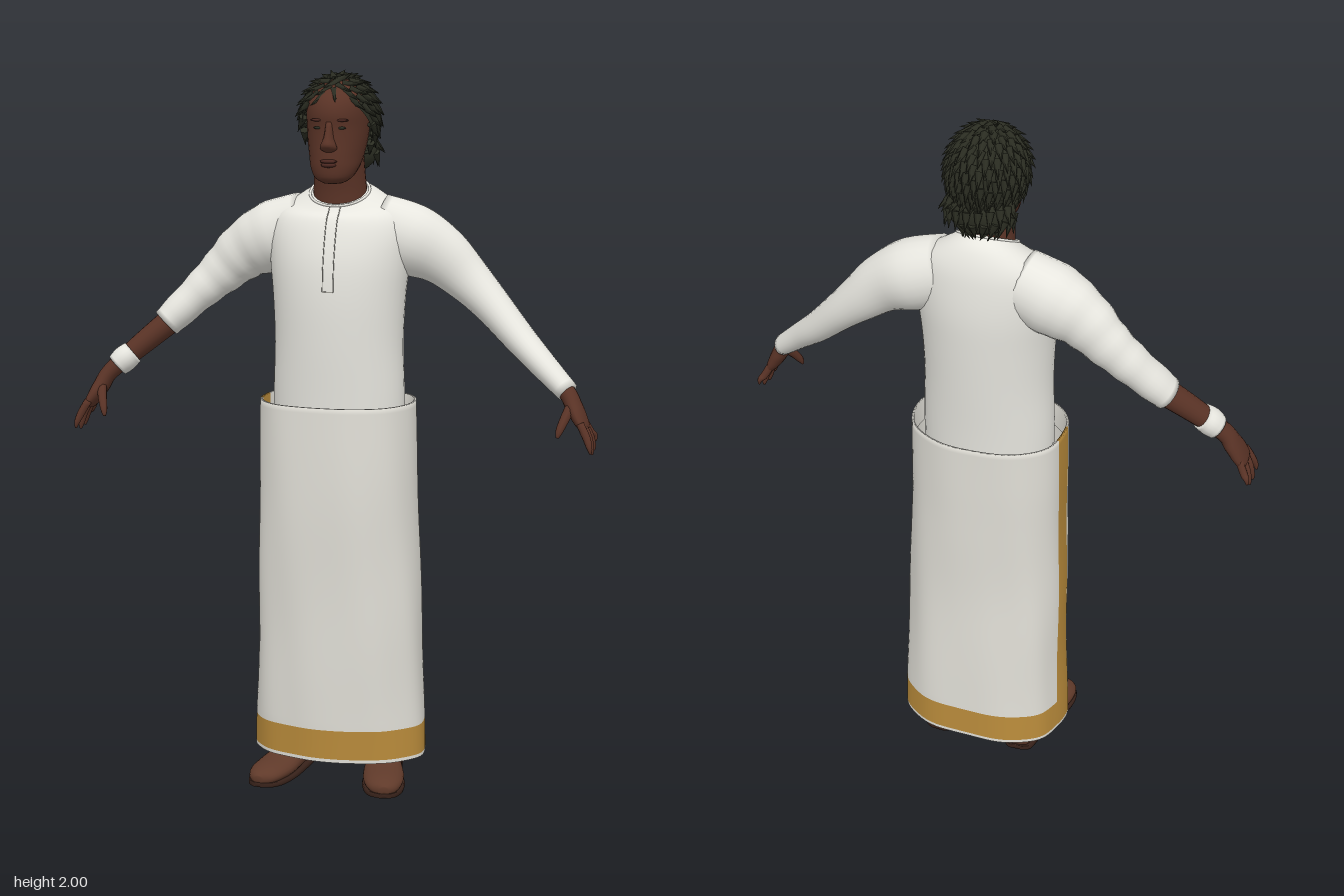
import * as THREE from 'three';
import { mergeGeometries } from 'three/addons/utils/BufferGeometryUtils.js';

const V = (x, y, z) => new THREE.Vector3(x, y, z);
const mat = (name, color, side = THREE.FrontSide) =>
  Object.assign(new THREE.MeshStandardMaterial({ color, side }), { name });

// Smoothly resample rows of numbers into n rows
function resample(rows, n) {
  const at = i => rows[Math.max(0, Math.min(rows.length - 1, i))];
  return Array.from({ length: n }, (_, k) => {
    const s = (k / (n - 1)) * (rows.length - 1);
    const i = Math.min(Math.floor(s), rows.length - 2), t = s - i;
    return rows[i].map((_, c) => {
      const [a, b, d, e] = [at(i - 1)[c], at(i)[c], at(i + 1)[c], at(i + 2)[c]];
      return b + 0.5 * t * (d - a + t * (2 * a - 5 * b + 4 * d - e + t * (3 * (b - d) + e - a)));
    });
  });
}

// Skin closed rings; pick(i, j) chooses the material group of each cell
function loft(rings, capped = true, pick = null) {
  const n = rings[0].length, pos = [], groups = [[], []];
  rings.forEach(r => r.forEach(p => pos.push(p.x, p.y, p.z)));
  for (let i = 0; i < rings.length - 1; i++)
    for (let j = 0; j < n; j++) {
      const a = i * n + j, b = i * n + (j + 1) % n;
      groups[pick ? pick(i, j) : 0].push(a, a + n, b, b, a + n, b + n);
    }
  if (capped)
    [0, rings.length - 1].forEach((i, end) => {
      const c = rings[i].reduce((s, p) => s.add(p), V(0, 0, 0)).divideScalar(n);
      const k = pos.length / 3;
      pos.push(c.x, c.y, c.z);
      for (let j = 0; j < n; j++) {
        const a = i * n + j, b = i * n + (j + 1) % n;
        groups[0].push(...(end ? [k, b, a] : [k, a, b]));
      }
    });
  const g = new THREE.BufferGeometry();
  g.setAttribute('position', new THREE.Float32BufferAttribute(pos, 3));
  g.setIndex(groups.flat());
  if (pick) {
    g.addGroup(0, groups[0].length, 0);
    g.addGroup(groups[0].length, groups[1].length, 1);
  }
  g.computeVertexNormals();
  return g;
}

// Limb along rows of [x, y, z, radius across, radius along ref]
function limbRings(rows, n = 20, seg = 16, ref = V(0, 0, 1)) {
  const r = resample(rows, n), c = r.map(q => V(q[0], q[1], q[2]));
  return r.map((q, i) => {
    const t = c[Math.min(i + 1, n - 1)].clone().sub(c[Math.max(i - 1, 0)]).normalize();
    const u = ref.clone().addScaledVector(t, -ref.dot(t)).normalize();
    const v = t.clone().cross(u);
    return Array.from({ length: seg }, (_, j) => {
      const a = (j / seg) * Math.PI * 2;
      return c[i].clone().addScaledVector(v, q[3] * Math.cos(a)).addScaledVector(u, q[4] * Math.sin(a));
    });
  });
}
const limb = (...args) => loft(limbRings(...args));

// Level ring from [y, half width, front z, back z, centre x, tilt]
function levelRing([y, rx, zf, zb, cx = 0, tilt = 0], seg, power = 1, wave = () => 0) {
  const cz = (zf + zb) / 2, rz = (zf - zb) / 2;
  const sp = v => Math.sign(v) * Math.abs(v) ** power;
  return Array.from({ length: seg }, (_, j) => {
    const a = (j / seg) * Math.PI * 2, w = 1 + wave(a, y);
    const z = cz + rz * w * sp(Math.sin(a));
    return V(cx + rx * w * sp(Math.cos(a)), y + tilt * (z - cz), z);
  });
}

export function createModel() {
  const model = new THREE.Group();
  const shirt = mat('shirt white', 0xe9e8e1), cloth = mat('wrap cloth', 0xe0ded6, THREE.DoubleSide);
  const gold = mat('gold border', 0xb98b3b, THREE.DoubleSide), skin = mat('skin', 0x5a3326);
  const hair = mat('hair', 0x2b2d22), lip = mat('lips', 0x4a2720), seam = mat('seam grey', 0xa09e96);
  const leather = mat('shoe leather', 0x603a2a), sole = mat('shoe sole', 0x38221a), trouser = mat('trousers', 0x2c3026);
  const add = (name, geo, m, parent = model) => {
    const o = new THREE.Mesh(geo, m);
    o.name = name;
    parent.add(o);
    return o;
  };
  const ball = (name, m, p, s, parent = model) =>
    add(name, new THREE.SphereGeometry(1, 16, 12).scale(...s).translate(...p), m, parent);

  // Shirt body with a neckline that dips at the front
  const torso = resample([
    [0.95, 0.185, 0.11, -0.135, 0, 0], [1.1, 0.187, 0.118, -0.142, 0, 0], [1.25, 0.182, 0.127, -0.153, 0, 0],
    [1.38, 0.187, 0.13, -0.162, 0, 0], [1.48, 0.197, 0.122, -0.166, 0, 0], [1.56, 0.2, 0.102, -0.16, 0, -0.04],
    [1.615, 0.18, 0.08, -0.148, 0, -0.12], [1.65, 0.125, 0.06, -0.122, 0, -0.35], [1.67, 0.083, 0.047, -0.09, 0, -0.52]], 33);
  const torsoRings = torso.map(r => levelRing(r, 40));
  add('shirtBody', loft(torsoRings), shirt);
  const neckline = new THREE.CatmullRomCurve3(torsoRings[32], true);
  add('collar', new THREE.TubeGeometry(neckline, 60, 0.004, 6, true), shirt);

  // Front placket stitching follows the chest
  const chest = torsoRings.map(r => r[10]).filter(p => p.y > 1.38);
  for (const x of [-0.012, 0.018]) {
    const line = new THREE.CatmullRomCurve3(chest.map(p => V(x, p.y, p.z - 0.0005)));
    add('placketSeam', new THREE.TubeGeometry(line, 30, 0.0013, 5), seam);
  }
  add('placketEnd', new THREE.BoxGeometry(0.03, 0.003, 0.003).translate(0.003, chest[0].y, chest[0].z), seam);

  // Arms: s = 1 is the left, s = -1 the right with its rolled sleeve
  const sleeve = [
    [0.1, 1.57, -0.05, 0.095, 0.085], [0.2, 1.535, -0.055, 0.1, 0.092], [0.28, 1.495, -0.058, 0.083, 0.072],
    [0.35, 1.435, -0.058, 0.066, 0.06], [0.42, 1.37, -0.042, 0.053, 0.057], [0.505, 1.285, -0.008, 0.044, 0.053],
    [0.58, 1.217, 0.03, 0.037, 0.046], [0.655, 1.15, 0.062, 0.03, 0.038]];
  const forearm = [
    [0.49, 1.295, -0.012, 0.036, 0.042], [0.58, 1.217, 0.03, 0.031, 0.036], [0.65, 1.152, 0.06, 0.024, 0.03],
    [0.673, 1.115, 0.07, 0.023, 0.038], [0.69, 1.085, 0.08, 0.02, 0.045], [0.705, 1.06, 0.087, 0.014, 0.043],
    [0.708, 1.053, 0.088, 0.006, 0.03]];
  const flip = (rows, s) => rows.map(([x, ...rest]) => [s * x, ...rest]);
  for (const s of [1, -1]) {
    const side = s > 0 ? 'left' : 'right';
    const arm = new THREE.Group();
    arm.name = side + 'Arm';
    model.add(arm);
    let rows = resample(flip(s > 0 ? sleeve : sleeve.slice(0, 6), s), 30);
    if (s < 0) rows = rows.map((r, i) => {
      const f = 1 + 0.025 * Math.sin(i * 1.5) * Math.min(1, i / 15);
      return [r[0], r[1], r[2], r[3] * f, r[4] * f];
    });
    add('sleeve', limb(rows, 30, 24), shirt, arm);
    add('forearmAndPalm', limb(flip(forearm, s), 28, 18), skin, arm);
    // Four fingers and a thumb
    [[0.052, 0.033, 1.018], [0.075, 0.064, 0.998], [0.098, 0.1, 0.993], [0.12, 0.137, 1.002]].forEach(([z0, z1, y1]) =>
      add('finger', limb(flip([
        [0.698, 1.075, z0, 0.011, 0.011], [0.717, 1.04, (z0 + z1) / 2, 0.011, 0.011],
        [0.727, y1 + 0.012, z1, 0.008, 0.008], [0.73, y1 - 0.004, z1, 0.003, 0.003]], s), 9, 8), skin, arm));
    add('thumb', limb(flip([
      [0.67, 1.12, 0.085, 0.015, 0.015], [0.656, 1.085, 0.118, 0.013, 0.013],
      [0.645, 1.055, 0.138, 0.01, 0.01], [0.641, 1.038, 0.144, 0.004, 0.004]], s), 9, 8), skin, arm);
    if (s < 0) add('wristBand', limb(flip([
      [0.592, 1.205, 0.036, 0.034, 0.04], [0.612, 1.187, 0.046, 0.038, 0.043], [0.632, 1.168, 0.054, 0.034, 0.038]], s), 7, 20), shirt, arm);

    // Trouser leg and shoe
    add(side + 'TrouserLeg', limb(flip([
      [0.09, 0.96, -0.02, 0.08, 0.085], [0.105, 0.5, -0.03, 0.065, 0.07], [0.127, 0.055, -0.05, 0.05, 0.062]], s), 12, 18), trouser);
    const shoe = [
      [0.125, 0.035, -0.122, 0.018, 0.03], [0.125, 0.038, -0.105, 0.04, 0.04], [0.13, 0.042, -0.05, 0.046, 0.045],
      [0.14, 0.038, 0.02, 0.051, 0.038], [0.156, 0.03, 0.09, 0.058, 0.031], [0.17, 0.027, 0.15, 0.053, 0.027],
      [0.18, 0.022, 0.185, 0.036, 0.021], [0.183, 0.02, 0.2, 0.012, 0.012]];
    const flat = (r, lo, hi) => {
      const rings = limbRings(flip(r, s), 24, 24, V(0, 1, 0));
      rings.forEach(q => q.forEach(p => { p.y = Math.max(lo, Math.min(hi, p.y)); }));
      return loft(rings);
    };
    add(side + 'Shoe', flat(shoe, 0.01, 1), leather);
    add(side + 'Sole', flat(shoe.map(([x, , z, w]) => [x, 0.006, z, w + 0.003, 0.03]), 0, 0.013), sole);
  }

  // Wrapped skirt with soft folds, a folded-in waist, gold hem and gold side edge
  const skirtRows = resample([
    [0.165, 0.243, 0.145, -0.192, 0.005], [0.4, 0.236, 0.15, -0.182, 0.004], [0.6, 0.23, 0.155, -0.176, 0.002],
    [0.8, 0.224, 0.16, -0.178, 0], [0.95, 0.221, 0.16, -0.182, -0.002], [1.09, 0.218, 0.156, -0.184, -0.003]], 32);
  skirtRows.unshift([0.07, 0.245, 0.141, -0.194, 0.005], [0.08, 0.245, 0.141, -0.194, 0.005]);
  skirtRows.push([1.09, 0.211, 0.149, -0.177, -0.003], [1.02, 0.211, 0.149, -0.177, -0.003]);
  const folds = (a, y) => (0.012 * Math.sin(5 * a + 2 * y) + 0.008 * Math.sin(9 * a - 5 * y) +
    0.006 * Math.sin(14 * y + 2 * a)) * (1.15 - 0.6 * y);
  const skirt = skirtRows.map(r => levelRing(r, 72, 0.85, folds));
  add('wrapSkirt', loft(skirt, false, (i, j) => (i === 1 || (i > 0 && j >= 34 && j < 38) ? 1 : 0)), [cloth, gold]);

  // Neck and head
  const head = new THREE.Group();
  head.name = 'head';
  model.add(head);
  add('neck', limb([[0, 1.6, -0.035, 0.082, 0.075], [0, 1.68, -0.025, 0.074, 0.065], [0, 1.78, -0.01, 0.068, 0.068]], 10, 24), skin, head);
  const skull = resample([
    [1.698, 0.026, 0.085, 0.02], [1.712, 0.05, 0.103, 0], [1.74, 0.066, 0.108, -0.04], [1.77, 0.074, 0.107, -0.08],
    [1.81, 0.081, 0.103, -0.1], [1.85, 0.085, 0.102, -0.115], [1.885, 0.086, 0.106, -0.12], [1.92, 0.083, 0.096, -0.115],
    [1.952, 0.068, 0.068, -0.1], [1.975, 0.035, 0.03, -0.06]], 30);
  add('face', loft(skull.map(r => levelRing(r, 32))), skin, head);
  const nose = resample([[1.784, 0.012, 0.108, 0.08], [1.793, 0.023, 0.124, 0.08], [1.805, 0.021, 0.133, 0.08],
    [1.825, 0.013, 0.124, 0.08], [1.865, 0.009, 0.108, 0.08]], 12);
  add('nose', loft(nose.map(r => levelRing(r, 14))), skin, head);
  ball('upperLip', lip, [0, 1.76, 0.106], [0.024, 0.006, 0.012], head);
  ball('lowerLip', lip, [0, 1.75, 0.106], [0.021, 0.007, 0.011], head);
  for (const s of [1, -1]) {
    ball('eye', hair, [s * 0.032, 1.849, 0.0925], [0.013, 0.004, 0.005], head);
    ball('eyebrow', lip, [s * 0.034, 1.87, 0.0955], [0.02, 0.004, 0.006], head);
  }

  // Hair cap, nape and small swept locks
  const tilt = -0.93, centre = V(0, 1.865, -0.022), size = V(0.103, 0.119, 0.118);
  add('hairCap', new THREE.SphereGeometry(1, 32, 20, 0, Math.PI * 2, 0, 1.92).rotateX(tilt)
    .scale(size.x, size.y, size.z).translate(centre.x, centre.y, centre.z), hair, head);
  ball('hairNape', hair, [0, 1.775, -0.08], [0.092, 0.062, 0.055], head);
  const locks = [];
  const lockAt = (p, d) => {
    const flow = V(d.x * 0.3, -0.8, -0.5);
    flow.addScaledVector(d, -flow.dot(d)).normalize().addScaledVector(d, 0.3).normalize();
    const q = new THREE.Quaternion().setFromUnitVectors(V(0, 1, 0), flow);
    locks.push(new THREE.ConeGeometry(0.013, 0.055, 6).translate(0, 0.016, 0)
      .applyQuaternion(q).translate(p.x, p.y, p.z));
  };
  for (let i = 0; i < 230; i++) {
    const y = 1 - (2 * (i + 0.5)) / 230, r = Math.sqrt(1 - y * y), a = i * 2.39996;
    const d = V(r * Math.cos(a), y, r * Math.sin(a));
    if (Math.acos(y) < 1.9) {
      const e = d.clone().applyAxisAngle(V(1, 0, 0), tilt);
      lockAt(e.clone().multiply(size).add(centre), e);
    }
    if (i % 4 === 0 && d.z < 0.3)
      lockAt(d.clone().multiply(V(0.092, 0.058, 0.055)).add(V(0, 1.78, -0.08)), d);
  }
  add('hairLocks', mergeGeometries(locks), hair, head);
  return model;
}
